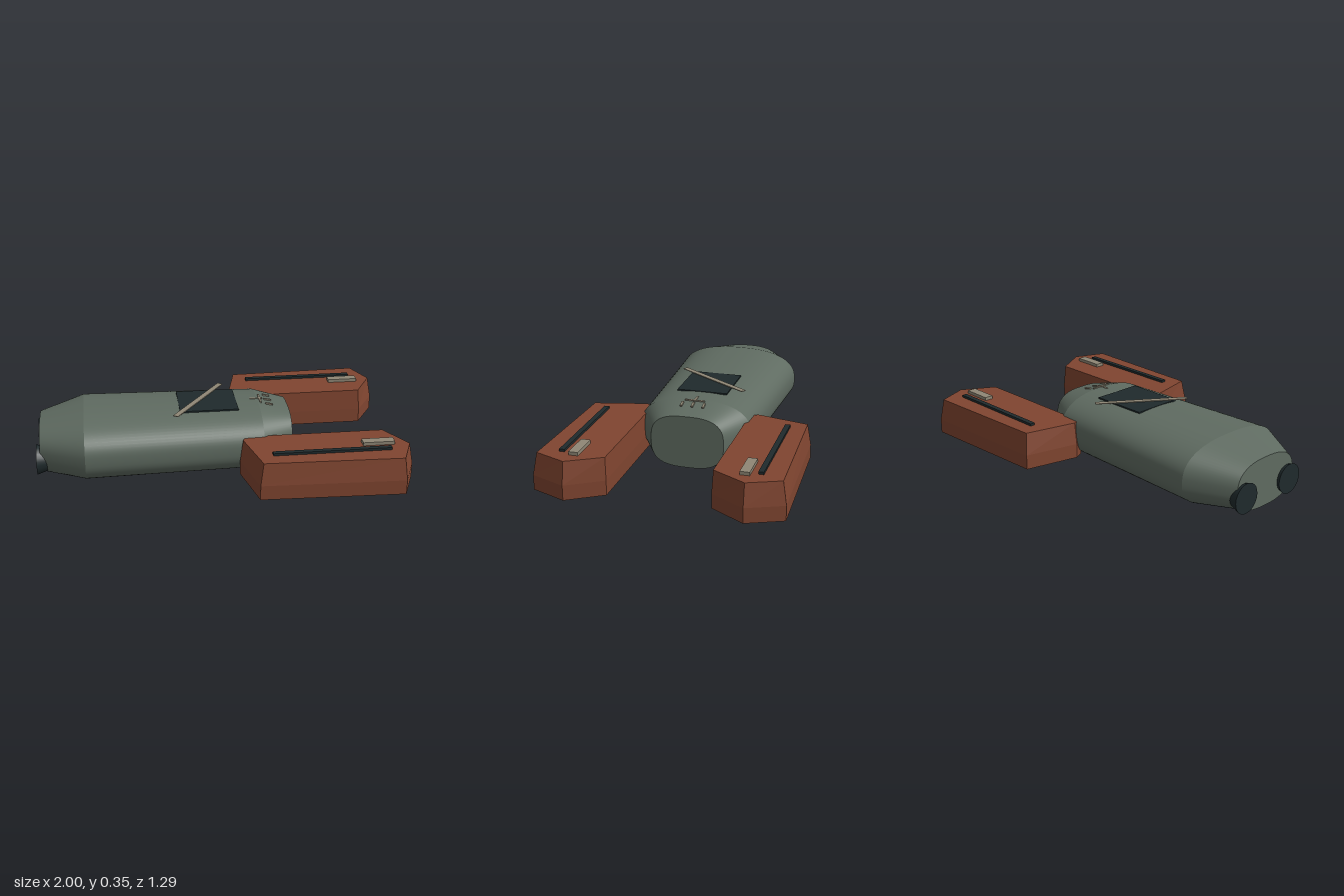
import * as THREE from 'three';

const mat = (name, color) => Object.assign(new THREE.MeshStandardMaterial({ color }), { name });

// Skin between two point rings (winding: ring order x point order faces outward)
function band(r0, r1, closed) {
  const n = r0.length, idx = [];
  for (let i = 0; i < (closed ? n : n - 1); i++) {
    const j = (i + 1) % n;
    idx.push(i, j, n + j, i, n + j, n + i);
  }
  return fromPoints([...r0, ...r1], idx);
}

// Flat fan closing a ring
function cap(ring, flip) {
  const idx = [];
  for (let i = 1; i < ring.length - 1; i++) idx.push(0, ...(flip ? [i + 1, i] : [i, i + 1]));
  return fromPoints(ring, idx);
}

function fromPoints(points, idx) {
  const g = new THREE.BufferGeometry().setFromPoints(points);
  g.setIndex(idx);
  g.computeVertexNormals();
  return g;
}

export function createModel() {
  const root = new THREE.Group();
  const green = mat('hull green', 0x5f6b61);
  const rust = mat('rust red', 0x804530);
  const dark = mat('dark slate', 0x1f2a2c);
  const tan = mat('worn tan', 0x8f8775);

  const add = (parent, name, geo, material, x = 0, y = 0, z = 0) => {
    const m = new THREE.Mesh(geo, material);
    m.name = name;
    m.position.set(x, y, z);
    parent.add(m);
    return m;
  };

  // Hull cross-sections, nose to tail: x, half width, bottom, top, roundness
  const sections = [
    [0.39, 0.2, 0.022, 0.312, 2.9],
    [0.22, 0.308, 0.003, 0.35, 2.5],
    [-0.74, 0.354, 0.003, 0.352, 2.5],
    [-0.98, 0.215, 0.025, 0.295, 2.6],
  ];
  const arc = ([x, w, lo, hi, n], from, to, steps) => {
    const pts = [];
    for (let i = 0; i <= steps; i++) {
      const t = THREE.MathUtils.degToRad(from + (to - from) * i / steps);
      const c = Math.cos(t), s = Math.sin(t);
      pts.push(new THREE.Vector3(x,
        (lo + hi) / 2 + (hi - lo) / 2 * Math.sign(s) * Math.abs(s) ** (2 / n),
        w * Math.sign(c) * Math.abs(c) ** (2 / n)));
    }
    return pts;
  };
  const hull = new THREE.Group();
  hull.name = 'hull';
  root.add(hull);
  for (let i = 0; i < sections.length - 1; i++) {
    const [a, b] = [sections[i], sections[i + 1]];
    add(hull, 'hullShell', band(arc(a, -40, 220, 52), arc(b, -40, 220, 52)), green);
    add(hull, 'belly', band(arc(a, 220, 320, 20), arc(b, 220, 320, 20)), dark);
  }
  add(hull, 'noseFace', cap(arc(sections[0], 0, 360, 72), true), green);
  add(hull, 'tailFace', cap(arc(sections[3], 0, 360, 72), false), green);

  // Roof panel with a diagonal bar
  add(root, 'roofPanel', new THREE.BoxGeometry(0.32, 0.008, 0.28), dark, -0.06, 0.349, 0);
  const bar = add(root, 'diagonalBar', new THREE.BoxGeometry(0.51, 0.004, 0.03), tan, -0.105, 0.355, -0.01);
  bar.rotation.y = Math.atan2(0.42, 0.29);

  // Plain worn dashes near the nose
  for (const z of [-0.06, 0, 0.06])
    add(root, 'roofDash', new THREE.BoxGeometry(0.04, 0.008, 0.012), tan, 0.28, 0.34, z).rotation.z = -0.23;
  add(root, 'roofDash', new THREE.BoxGeometry(0.07, 0.006, 0.012), tan, 0.215, 0.35, 0);
  add(root, 'roofDash', new THREE.BoxGeometry(0.01, 0.008, 0.11), tan, 0.235, 0.348, 0);

  // Side pods: outline in x, z and its inset top
  const outline = [[0.085, 0.32], [0.15, 0.62], [0.915, 0.645], [0.995, 0.455], [0.88, 0.27], [0.11, 0.27]];
  const topLine = [[0.1, 0.32], [0.167, 0.603], [0.902, 0.625], [0.972, 0.455], [0.87, 0.276], [0.12, 0.276]];
  for (const side of [1, -1]) {
    const pod = new THREE.Group();
    pod.name = side > 0 ? 'frontPod' : 'backPod';
    root.add(pod);
    const ring = (line, y) => {
      const pts = line.map(([x, z]) => new THREE.Vector3(x, y, z * side));
      return side > 0 ? pts : pts.reverse();
    };
    const rings = [ring(outline, 0.05), ring(outline, 0.13), ring(topLine, 0.25)];
    for (let i = 0; i < 2; i++) {
      const wall = band(rings[i], rings[i + 1], true).toNonIndexed();
      wall.computeVertexNormals();
      add(pod, 'podWall', wall, rust);
    }
    add(pod, 'podTop', cap(rings[2], false), rust);
    add(pod, 'podBottom', cap(rings[0], true), rust);
    add(pod, 'podStrip', new THREE.BoxGeometry(0.63, 0.02, 0.028), dark, 0.545, 0.253, 0.508 * side);
    add(pod, 'podPlate', new THREE.BoxGeometry(0.17, 0.02, 0.05), tan, 0.805, 0.258, 0.435 * side);

    // Flared tail nozzle
    const nozzle = new THREE.CylinderGeometry(0.082, 0.063, 0.055, 24);
    nozzle.rotateZ(Math.PI / 2);
    add(root, 'tailNozzle', nozzle, dark, -0.9725, 0.125, 0.168 * side);
  }
  return root;
}
